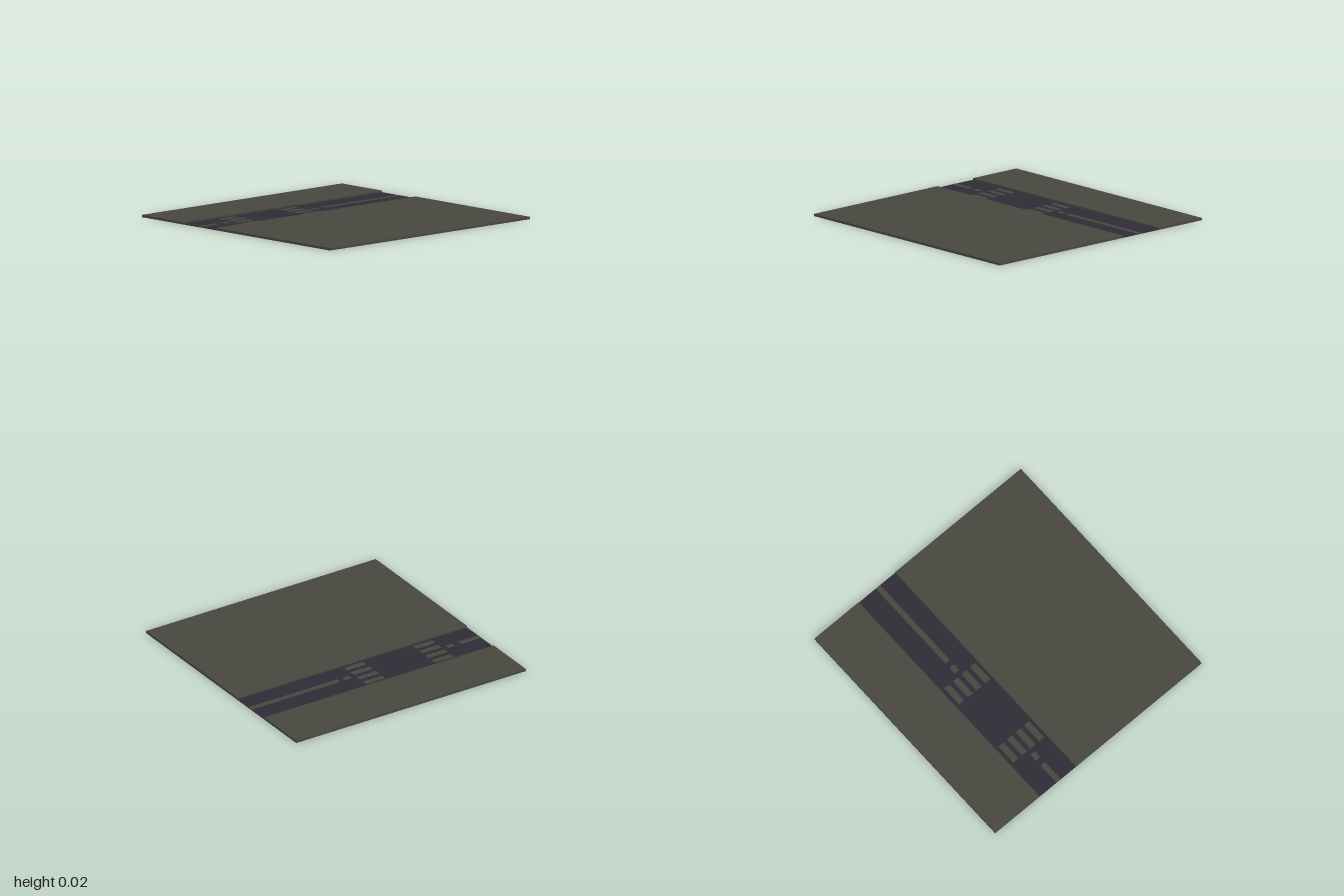
import * as THREE from 'three';

export function createModel() {
  const group = new THREE.Group();
  group.name = 'streetTile';

  const paving = new THREE.MeshStandardMaterial({ color: 0x48473f });
  paving.name = 'olive paving';
  const asphalt = new THREE.MeshStandardMaterial({ color: 0x2d2c36 });
  asphalt.name = 'dark asphalt';

  const slabTop = 0.018, roadTop = 0.006;
  const roadLeft = -0.572, roadRight = -0.219;

  // Box given by its limits on each axis
  function block(name, x0, x1, y0, y1, z0, z1, material) {
    const geometry = new THREE.BoxGeometry(x1 - x0, y1 - y0, z1 - z0);
    const mesh = new THREE.Mesh(geometry, material);
    mesh.position.set((x0 + x1) / 2, (y0 + y1) / 2, (z0 + z1) / 2);
    mesh.name = name;
    group.add(mesh);
  }

  // Raised ground on both sides; the wide one has an asphalt underside
  block('narrowPavement', -1, roadLeft, 0, slabTop, -1, 1, paving);
  block('widePavement', roadRight, 1, 0, slabTop, -1, 1,
    [paving, paving, paving, asphalt, paving, paving]);

  // Sunken road
  block('road', roadLeft, roadRight, 0.0005, roadTop, -1, 1, asphalt);

  // Paving wedge under the road, facing down
  const wedge = new THREE.Shape([
    new THREE.Vector2(roadLeft, -1),
    new THREE.Vector2(roadRight, 0),
    new THREE.Vector2(roadLeft, 1),
  ]);
  const underside = new THREE.Mesh(new THREE.ShapeGeometry(wedge).rotateX(Math.PI / 2), paving);
  underside.name = 'undersideWedge';
  group.add(underside);

  // Painted markings as thin plates on the road
  function marking(name, x0, x1, z0, z1) {
    block(name, x0, x1, roadTop - 0.001, roadTop + 0.0008, z0, z1, paving);
  }

  // Centre line: long stretches and short dashes
  for (const [z0, z1] of [[-1, -0.227], [-0.185, -0.126], [0.714, 0.773], [0.826, 1]]) {
    marking('centreLine', -0.406, -0.364, z0, z1);
  }

  // Two pedestrian crossings of four bars
  for (const [z0, z1] of [[-0.088, 0.078], [0.511, 0.676]]) {
    for (let i = 0; i < 4; i++) {
      const x = -0.54 + i * 0.0835;
      marking('crossingBar', x, x + 0.048, z0, z1);
    }
  }

  return group;
}
